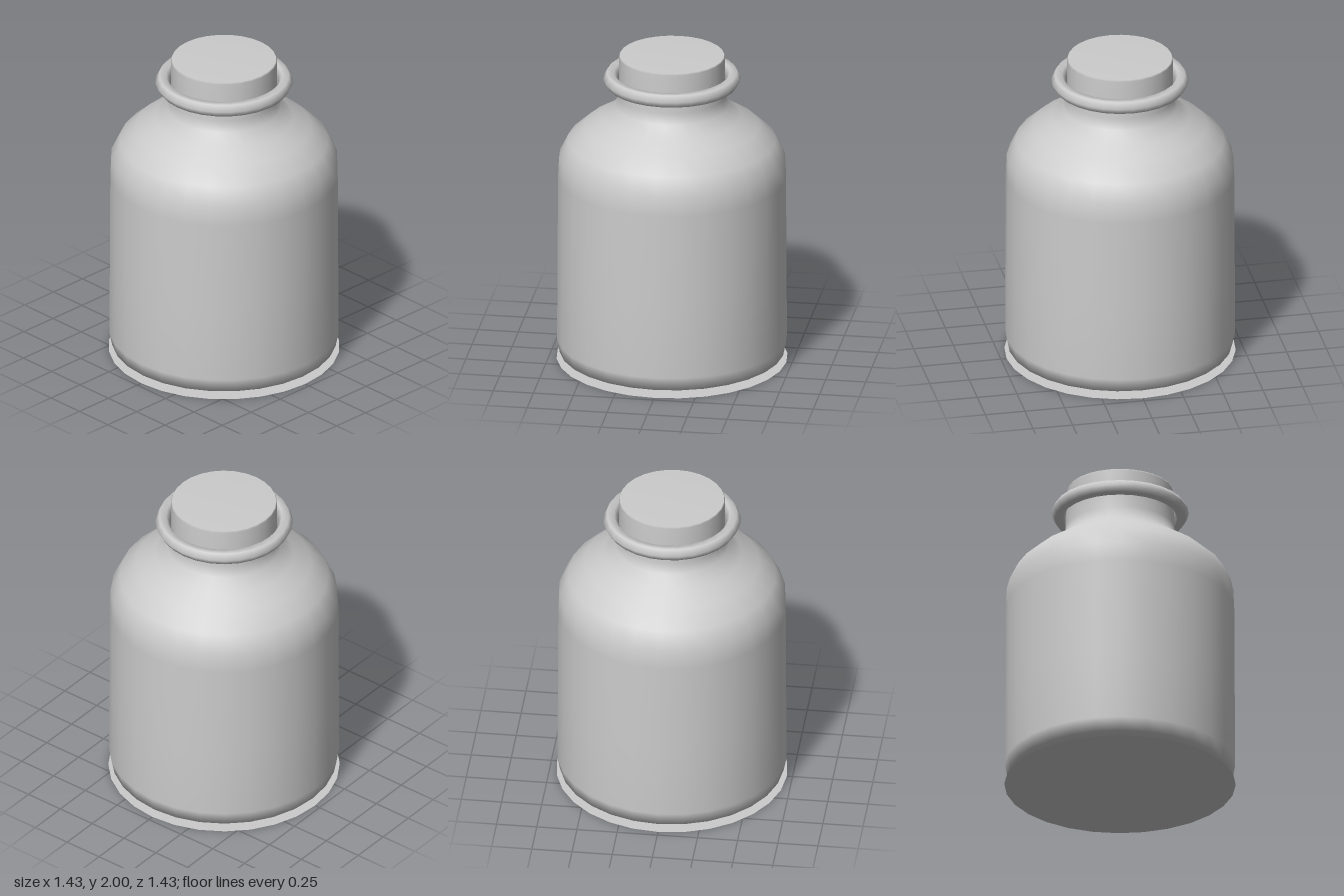
import * as THREE from 'three';

const SIDES = 28;

// Smooth turned part from a bottom-to-top list of [radius, height]
function turned(name, profile, material) {
  const points = profile.map(([r, y]) => new THREE.Vector2(r, y));
  const mesh = new THREE.Mesh(new THREE.LatheGeometry(points, SIDES), material);
  mesh.name = name;
  return mesh;
}

export function createModel() {
  const group = new THREE.Group();
  group.name = 'jar';
  const grey = new THREE.MeshStandardMaterial({ color: 0xcccccc, side: THREE.DoubleSide });

  // Body: rounded foot, straight wall, curved shoulder and neck
  group.add(turned('body', [
    [0, 0.02], [0.6, 0.02], [0.695, 0.045], [0.712, 0.13], [0.709, 0.6],
    [0.706, 1.2], [0.7, 1.33], [0.645, 1.44], [0.54, 1.535], [0.43, 1.6],
    [0.35, 1.67], [0.336, 1.74], [0.335, 1.85],
  ], grey));

  // Stopper: smooth shading runs over its rim
  group.add(turned('stopper', [
    [0.328, 1.8], [0.328, 1.99], [0.322, 2], [0, 2],
  ], grey));

  // Ring around the neck, six-sided in section
  const ring = new THREE.Mesh(new THREE.TorusGeometry(0.38, 0.045, 6, SIDES), grey);
  ring.name = 'neckRing';
  ring.rotation.x = Math.PI / 2;
  ring.position.y = 1.847;
  group.add(ring);

  // Thin disc under the foot
  const base = new THREE.Mesh(new THREE.CircleGeometry(0.715, SIDES), grey);
  base.name = 'baseDisc';
  base.rotation.x = Math.PI / 2;
  group.add(base);

  return group;
}
